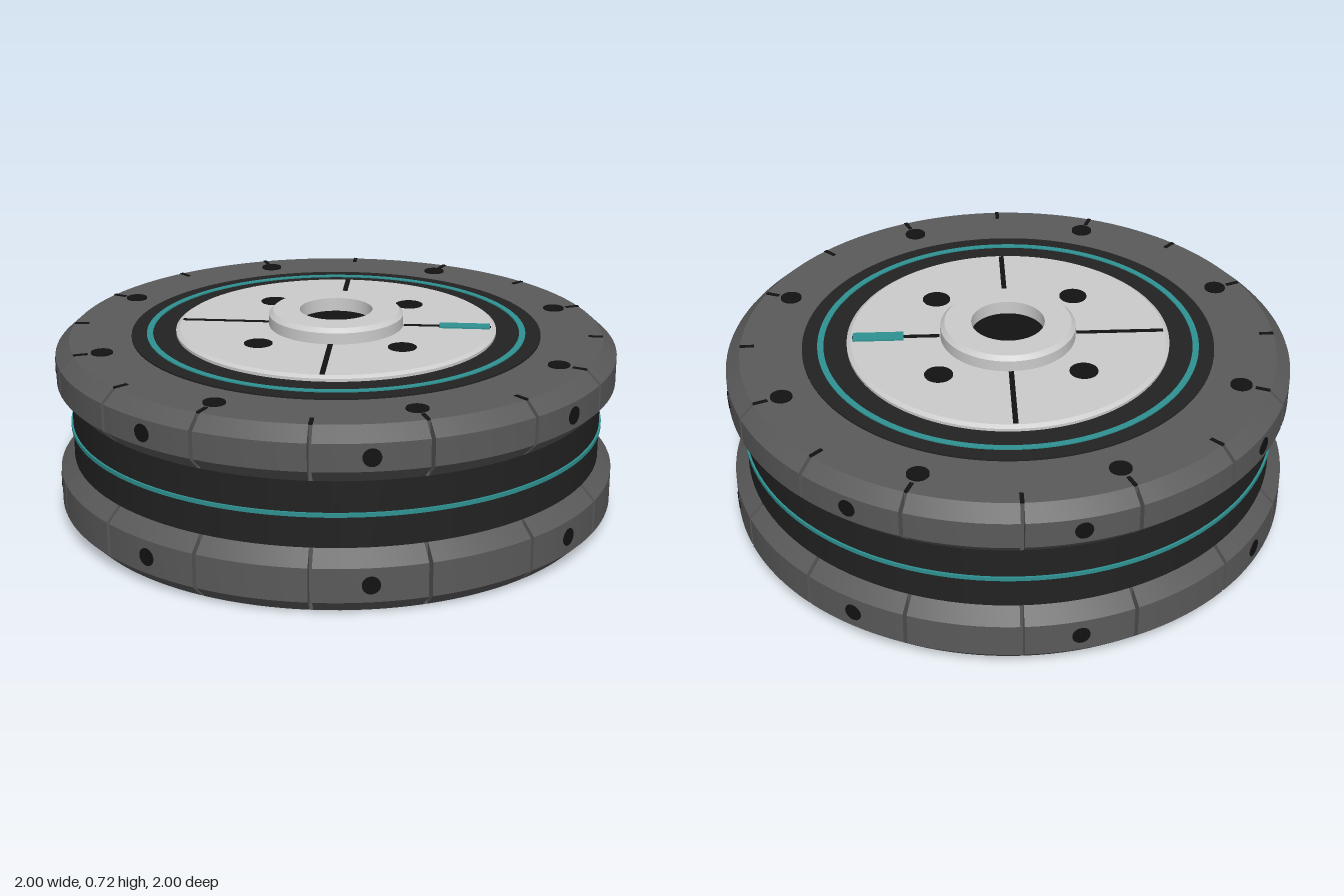
import * as THREE from 'three';
import { toCreasedNormals } from 'three/addons/utils/BufferGeometryUtils.js';

const mat = (color) => new THREE.MeshStandardMaterial({ color });
const casing = mat(0x5a5a5a);
casing.side = THREE.DoubleSide;
const rubber = mat(0x222222);
const black = mat(0x121212);
const metal = mat(0xcccccc);
const teal = mat(0x2f9292);

const STEP = Math.PI / 8; // sixteen flange segments
const GAP = 0.007; // half angle of a slot

function add(parent, name, geometry, material, x = 0, y = 0, z = 0) {
  const mesh = new THREE.Mesh(geometry, material);
  mesh.name = name;
  mesh.position.set(x, y, z);
  parent.add(mesh);
  return mesh;
}

// Turned part from [radius, height] pairs, sharp at its edges
function turned(profile, segments = 128, start = 0, length = Math.PI * 2) {
  const points = profile.map(([r, y]) => new THREE.Vector2(r, y));
  return toCreasedNormals(new THREE.LatheGeometry(points, segments, start, length), 0.4);
}

// Places a child at a given angle around the vertical axis (0 = front)
function spoke(parent, angle) {
  const pivot = new THREE.Group();
  pivot.rotation.y = angle;
  parent.add(pivot);
  return pivot;
}

function createFlange(name, y0, y1, low, high) {
  const flange = new THREE.Group();
  flange.name = name;
  add(flange, 'flangeCore', turned([[0, y0], [0.95, y0], [0.95, y1], [0, y1]]), casing);

  // Chamfered rim segments separated by narrow slots
  const rim = [[0.945, y0], [0.95, y0], [1, low], [1, high], [0.95, y1], [0.945, y1]];
  const segment = turned(rim, 8, GAP, STEP - 2 * GAP);
  const wall = new THREE.ShapeGeometry(new THREE.Shape(rim.map(([r, y]) => new THREE.Vector2(r, y))));
  const hole = new THREE.CylinderGeometry(0.031, 0.031, 0.04, 24).rotateX(Math.PI / 2);
  for (let i = 0; i < 16; i++) {
    const pivot = spoke(flange, i * STEP);
    add(pivot, 'rimSegment', segment, casing);
    for (const a of [GAP, STEP - GAP]) add(pivot, 'slotWall', wall, casing).rotation.y = a - Math.PI / 2;
  }
  // Radial holes in every other segment
  for (let i = 0; i < 8; i++) {
    add(spoke(flange, (i * 2 + 0.5) * STEP), 'rimHole', hole, black, 0, (low + high) / 2, 0.982);
  }
  return flange;
}

export function createModel() {
  const model = new THREE.Group();
  model.name = 'wheel';

  // Two flanges with the drum between them
  model.add(createFlange('lowerFlange', 0, 0.22, 0.05, 0.17));
  model.add(createFlange('upperFlange', 0.45, 0.64, 0.5, 0.595));
  add(model, 'drum', new THREE.CylinderGeometry(0.95, 0.95, 0.23, 128, 1, true), rubber, 0, 0.335, 0);
  add(model, 'drumStripe', turned([[0.95, 0.328], [0.957, 0.328], [0.957, 0.342], [0.95, 0.342]]), teal);

  // Slot ends and screw holes on the upper face
  const slotEnd = new THREE.BoxGeometry(0.014, 0.006, 0.05);
  const screw = new THREE.CylinderGeometry(0.038, 0.038, 0.008, 32);
  for (let i = 0; i < 16; i++) {
    const pivot = spoke(model, i * STEP);
    add(pivot, 'slotEnd', slotEnd, black, 0, 0.64, 0.925);
    if (i % 2) add(pivot, 'screwHole', screw, black, 0, 0.641, 0.85);
  }

  // Dark seat ring with its coloured line
  add(model, 'seatRing', turned([[0.73, 0.63], [0.73, 0.646], [0.5, 0.646]]), rubber);
  add(model, 'seatStripe', turned([[0.676, 0.64], [0.676, 0.65], [0.654, 0.65], [0.654, 0.64]]), teal);

  // Hub plate with grooves and bolt holes
  add(model, 'hubPlate', turned([[0.572, 0.64], [0.572, 0.656], [0.558, 0.665], [0, 0.665]]), metal);
  const groove = new THREE.BoxGeometry(0.018, 0.006, 0.31);
  const bolt = new THREE.CylinderGeometry(0.05, 0.05, 0.008, 32);
  for (let i = 0; i < 4; i++) {
    const pivot = spoke(model, i * Math.PI / 2);
    add(pivot, 'hubGroove', groove, black, 0, 0.664, 0.398);
    add(pivot, 'boltHole', bolt, black, 0.25, 0.663, 0.25);
  }
  add(model, 'indexMark', new THREE.BoxGeometry(0.18, 0.012, 0.05), teal, 0.46, 0.665, 0);

  // Raised collar around the central bore
  const collar = [[0.24, 0.655], [0.24, 0.705], [0.225, 0.72], [0.13, 0.72], [0.13, 0.655]];
  add(model, 'collar', turned(collar), metal);
  add(model, 'bore', new THREE.CylinderGeometry(0.13, 0.13, 0.02, 64), black, 0, 0.662, 0);

  return model;
}
